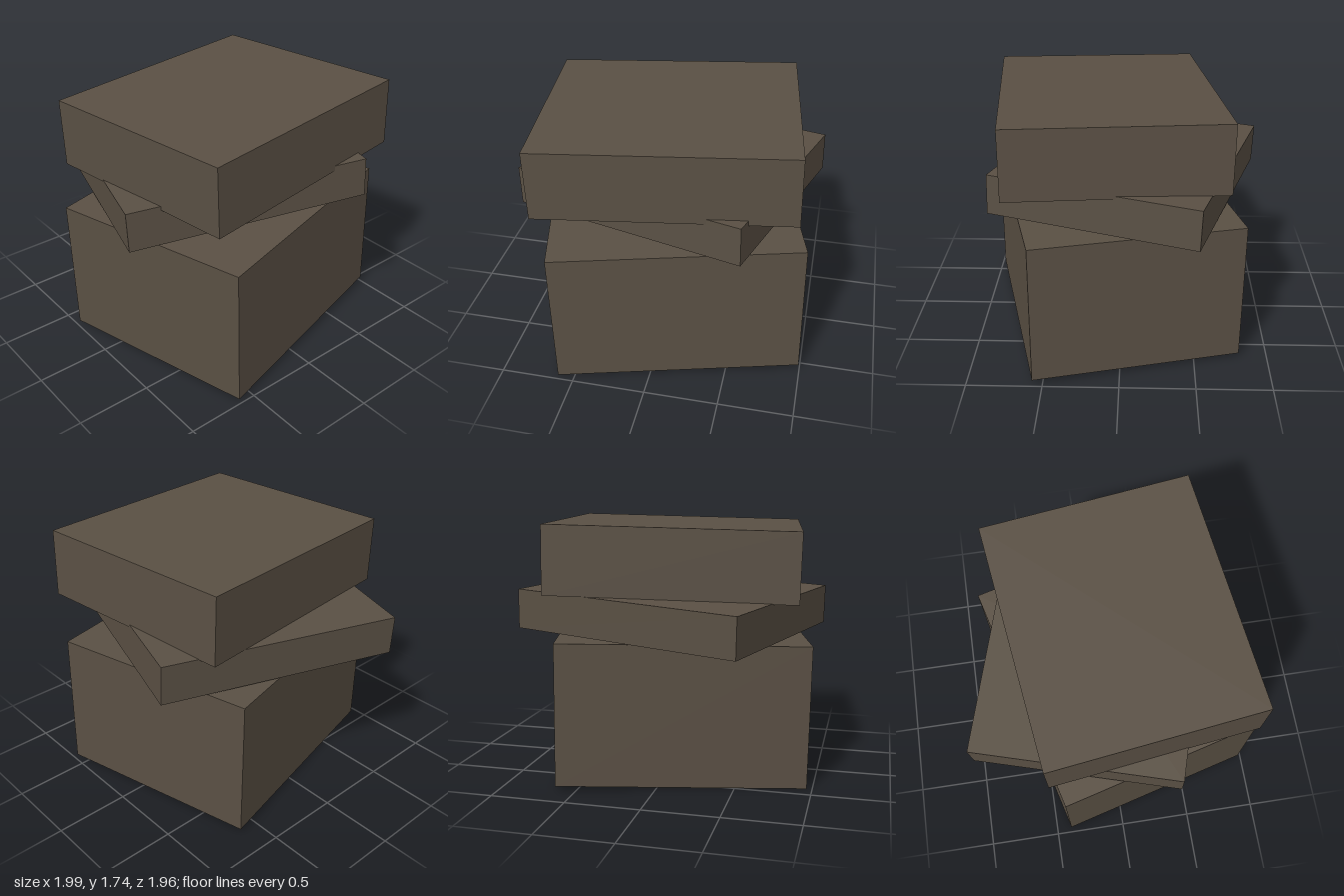
import * as THREE from 'three';

const stone = new THREE.MeshStandardMaterial({ color: 0x5a5044 });
stone.name = 'darkStone';

// Tilted block from three corners of its top face (back left, back right, front left) and its thickness
function block(name, backLeft, backRight, frontLeft, height) {
  const a = new THREE.Vector3(...backLeft);
  const b = new THREE.Vector3(...backRight);
  const d = new THREE.Vector3(...frontLeft);
  const width = a.distanceTo(b);
  const depth = a.distanceTo(d);

  const u = b.clone().sub(a).normalize();
  const n = d.clone().sub(a).cross(u).normalize();
  const w = u.clone().cross(n);

  const mesh = new THREE.Mesh(new THREE.BoxGeometry(width, height, depth), stone);
  mesh.name = name;
  mesh.quaternion.setFromRotationMatrix(new THREE.Matrix4().makeBasis(u, n, w));
  mesh.position.copy(b).add(d).multiplyScalar(0.5).addScaledVector(n, -height / 2);
  return mesh;
}

export function createModel() {
  const group = new THREE.Group();
  group.name = 'stackedStones';
  group.add(
    block('bottomStone', [-0.985, 0.96, -0.4], [0.615, 0.985, -0.815], [-0.62, 0.977, 0.972], 0.955),
    block('middleStone', [-0.58, 1.23, -0.975], [0.995, 1.285, -0.495], [-1.0, 1.265, 0.365], 0.267),
    block('topStone', [-0.91, 1.692, -0.49], [0.73, 1.73, -0.695], [-0.73, 1.71, 0.91], 0.458),
  );
  return group;
}
